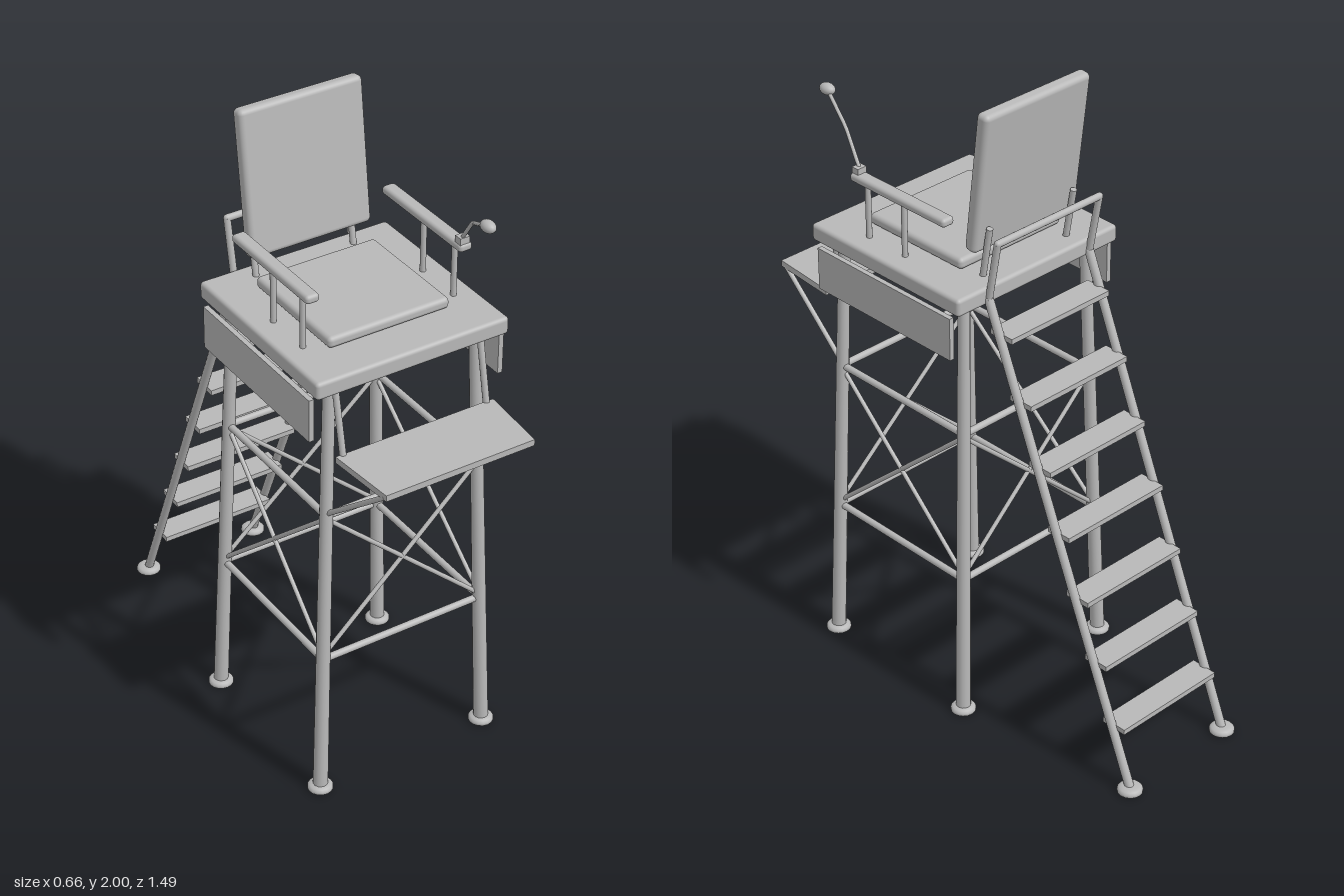
import * as THREE from 'three';
import { RoundedBoxGeometry } from 'three/addons/geometries/RoundedBoxGeometry.js';

const grey = new THREE.MeshStandardMaterial({ color: 0xb8b8b8 });
grey.name = 'plain grey';

export function createModel() {
  const root = new THREE.Group();
  root.name = 'courtChair';

  const add = (name, geometry, x = 0, y = 0, z = 0) => {
    const m = new THREE.Mesh(geometry, grey);
    m.name = name;
    m.position.set(x, y, z);
    root.add(m);
    return m;
  };
  const box = (name, w, h, d, x, y, z) => add(name, new THREE.BoxGeometry(w, h, d), x, y, z);
  const pad = (name, w, h, d, r, x, y, z) => add(name, new RoundedBoxGeometry(w, h, d, 3, r), x, y, z);
  // Round bar between two points, with a radius at each end
  const bar = (name, a, b, ra, rb = ra) => {
    const p = new THREE.Vector3(...a), q = new THREE.Vector3(...b);
    const dir = q.clone().sub(p);
    const m = add(name, new THREE.CylinderGeometry(rb, ra, dir.length(), 14));
    m.position.copy(p).add(q).multiplyScalar(0.5);
    m.quaternion.setFromUnitVectors(new THREE.Vector3(0, 1, 0), dir.normalize());
    return m;
  };
  // Flat foot with a sloping collar
  const foot = (x, z) => add('foot', new THREE.LatheGeometry([
    [0, 0], [0.034, 0], [0.039, 0.004], [0.039, 0.012], [0.033, 0.018], [0.022, 0.022], [0, 0.022],
  ].map(p => new THREE.Vector2(...p)), 16), x, 0, z);

  // Legs lean inward toward the platform
  const legAt = (sx, front, y) => {
    const t = y / 1.42;
    return [sx * (0.292 - 0.05 * t), y, front ? 0.488 - 0.038 * t : -0.09 + 0.032 * t];
  };
  const corners = [[-1, true], [1, true], [1, false], [-1, false]];
  for (const [sx, front] of corners) {
    const base = legAt(sx, front, 0.01);
    bar('leg', base, legAt(sx, front, 1.42), 0.023, 0.018);
    foot(base[0], base[2]);
  }

  // Horizontal rails and crossed braces on each side of the frame
  corners.forEach((a, i) => {
    const b = corners[(i + 1) % 4];
    for (const y of [0.478, 0.98]) bar('frameRail', legAt(...a, y), legAt(...b, y), 0.011);
    bar('crossBrace', legAt(...a, 0.49), legAt(...b, 0.97), 0.007);
    bar('crossBrace', legAt(...a, 0.97), legAt(...b, 0.49), 0.007);
  });

  // Platform, seat and tilted backrest
  pad('platform', 0.635, 0.056, 0.625, 0.012, 0, 1.442, 0.197);
  pad('seatCushion', 0.4, 0.036, 0.387, 0.014, 0, 1.49, 0.193);
  pad('backrest', 0.405, 0.452, 0.045, 0.016, 0, 1.773, -0.064).rotation.x = -0.124;

  for (const s of [-1, 1]) {
    bar('backrestSupport', [s * 0.165, 1.45, -0.052], [s * 0.165, 1.63, -0.084], 0.01);
    box('sidePanel', 0.016, 0.136, 0.562, s * 0.315, 1.334, 0.196);

    // Armrest on two posts
    pad('armrest', 0.044, 0.027, 0.395, 0.011, s * 0.25, 1.652, 0.188);
    for (const z of [0.33, 0.177]) bar('armrestPost', [s * 0.25, 1.46, z], [s * 0.25, 1.645, z], 0.009);

    // Footrest hangers and struts
    bar('footrestHanger', [s * 0.24, 1.205, 0.522], [s * 0.24, 1.42, 0.478], 0.01);
    bar('footrestStrut', [s * 0.24, 1.205, 0.73], [s * 0.258, 0.99, 0.465], 0.008);

    // Ladder side rail bending into a handrail
    const x = s * 0.2;
    bar('ladderRail', [x, 0.01, -0.708], [x, 1.43, -0.116], 0.014);
    bar('handrail', [x, 1.43, -0.116], [x, 1.622, -0.152], 0.011);
    for (const [y, z, r] of [[1.43, -0.116, 0.014], [1.622, -0.152, 0.011]])
      add('railJoint', new THREE.SphereGeometry(r, 12, 8), x, y, z);
    foot(x, -0.708);
  }
  bar('handrailCrossbar', [-0.2, 1.622, -0.152], [0.2, 1.622, -0.152], 0.011);

  // Ladder treads
  for (let i = 0; i < 7; i++)
    box('ladderTread', 0.39, 0.017, 0.086, 0, 0.197 + i * 0.188, -0.631 + i * 0.0785);

  // Footrest plate narrows slightly toward the front
  const plate = new THREE.Shape([[-0.264, -0.519], [0.264, -0.519], [0.246, -0.744], [-0.246, -0.744]]
    .map(p => new THREE.Vector2(...p)));
  const plateGeo = new THREE.ExtrudeGeometry(plate, { depth: 0.02, bevelEnabled: false });
  plateGeo.rotateX(-Math.PI / 2);
  add('footrestPlate', plateGeo, 0, 1.2, 0);

  // Bent microphone arm on the left armrest
  box('microphoneBase', 0.032, 0.022, 0.026, 0.248, 1.673, 0.368);
  const arm = [[0.247, 1.675, 0.366], [0.243, 1.7, 0.385], [0.23, 1.765, 0.436], [0.222, 1.778, 0.458], [0.186, 1.834, 0.568]];
  const path = new THREE.CurvePath();
  for (let i = 0; i + 1 < arm.length; i++)
    path.add(new THREE.LineCurve3(new THREE.Vector3(...arm[i]), new THREE.Vector3(...arm[i + 1])));
  add('microphoneArm', new THREE.TubeGeometry(path, 32, 0.006, 8));
  add('microphoneHead', new THREE.SphereGeometry(1, 18, 12), 0.185, 1.836, 0.57).scale.set(0.02, 0.018, 0.028);

  return root;
}
